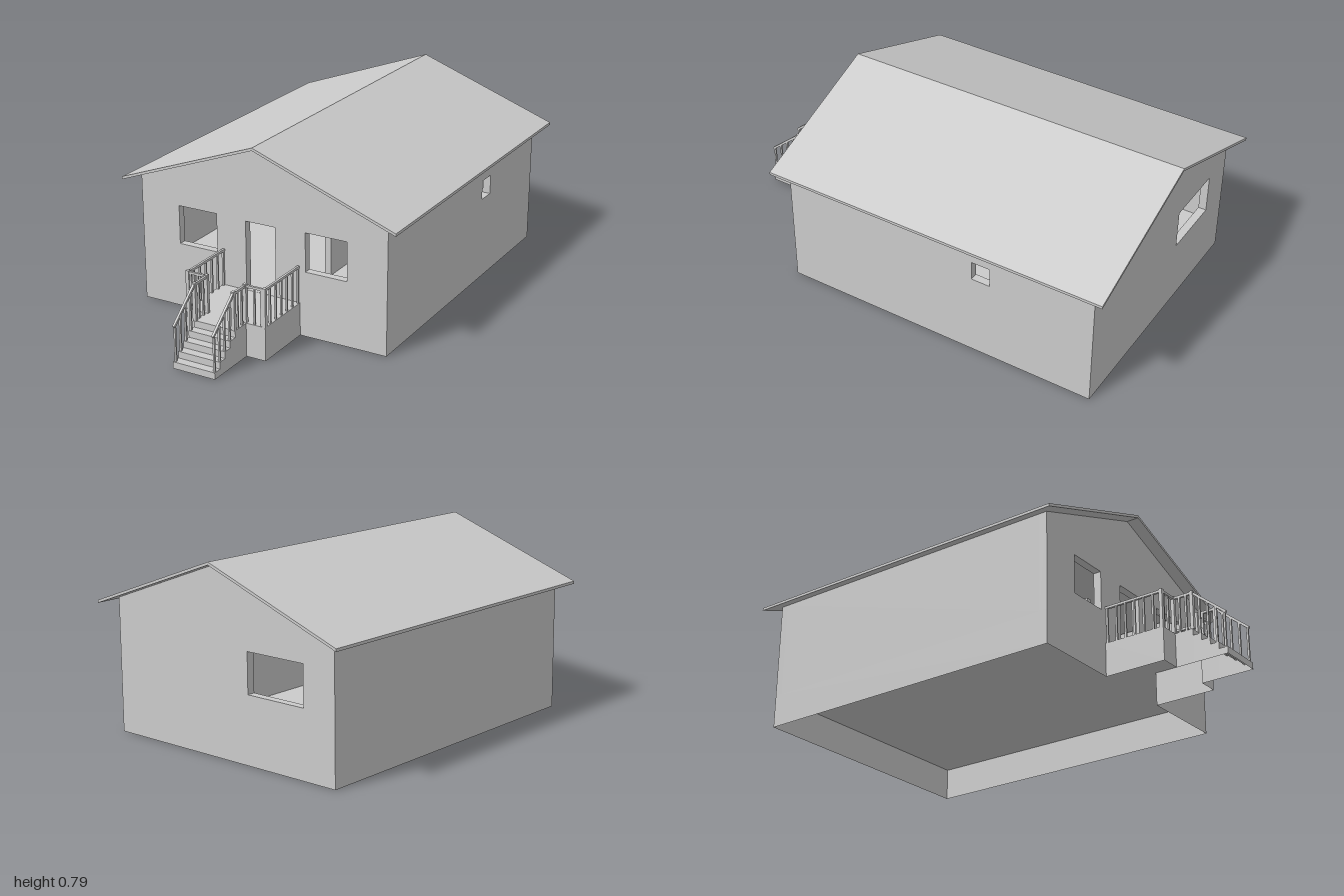
import * as THREE from 'three';

const grey = new THREE.MeshStandardMaterial({ color: 0xcccccc, flatShading: true, side: THREE.DoubleSide });
const V = (x, y, z) => new THREE.Vector3(x, y, z);

const FLOOR = 0.145, WALL = 0.035;
const HALF = 0.58, FRONT = 0.5, BACK = -0.94;
const EAVE = 0.567, RIDGE = 0.78;

function add(parent, name, geometry) {
  const mesh = new THREE.Mesh(geometry, grey);
  mesh.name = name;
  parent.add(mesh);
  return mesh;
}

function box(parent, name, x0, x1, y0, y1, z0, z1) {
  const mesh = add(parent, name, new THREE.BoxGeometry(x1 - x0, y1 - y0, z1 - z0));
  mesh.position.set((x0 + x1) / 2, (y0 + y1) / 2, (z0 + z1) / 2);
  return mesh;
}

// Square bar between two points
function bar(parent, name, a, b, size) {
  const mesh = add(parent, name, new THREE.BoxGeometry(size, size, a.distanceTo(b)));
  mesh.position.copy(a).add(b).multiplyScalar(0.5);
  mesh.lookAt(b);
  return mesh;
}

// Thin sheet made by sweeping a polyline along an offset
function ribbon(points, offset) {
  const corners = [];
  for (let i = 0; i < points.length - 1; i++) {
    const a = points[i], b = points[i + 1];
    const c = b.clone().add(offset), d = a.clone().add(offset);
    corners.push(a, b, c, a, c, d);
  }
  const geometry = new THREE.BufferGeometry().setFromPoints(corners);
  geometry.computeVertexNormals();
  return geometry;
}

const outline = (pts) => new THREE.Shape(pts.map(([x, y]) => new THREE.Vector2(x, y)));

// Wall panel with rectangular openings given as [x0, x1, y0, y1]
function panel(pts, openings) {
  const shape = outline(pts);
  for (const [x0, x1, y0, y1] of openings) {
    shape.holes.push(new THREE.Path([
      new THREE.Vector2(x0, y0), new THREE.Vector2(x0, y1),
      new THREE.Vector2(x1, y1), new THREE.Vector2(x1, y0)]));
  }
  return new THREE.ExtrudeGeometry(shape, { depth: WALL, bevelEnabled: false });
}

function buildHouse() {
  const house = new THREE.Group();
  house.name = 'house';

  // Gable walls with windows and doorway
  const gable = [[-HALF, FLOOR], [HALF, FLOOR], [HALF, EAVE], [0, RIDGE], [-HALF, EAVE]];
  add(house, 'frontWall', panel(gable, [
    [-0.395, -0.21, 0.285, 0.455], [0.21, 0.4, 0.285, 0.455], [-0.07, 0.07, FLOOR + 0.001, 0.45],
  ])).position.z = FRONT - WALL;
  add(house, 'backWall', panel(gable, [[-0.425, -0.14, 0.285, 0.455]])).position.z = BACK;

  // Side walls, drawn with x running to the back
  const side = [[WALL - FRONT, FLOOR], [-BACK - WALL, FLOOR], [-BACK - WALL, EAVE], [WALL - FRONT, EAVE]];
  const windowed = add(house, 'windowedSideWall', panel(side, [[0.39, 0.475, 0.37, 0.455]]));
  const plain = add(house, 'plainSideWall', panel(side, []));
  windowed.position.x = HALF - WALL;
  plain.position.x = -HALF;
  windowed.rotation.y = plain.rotation.y = Math.PI / 2;

  box(house, 'partition', 0.13, 0.16, FLOOR, 0.56, BACK + WALL, 0.2);

  // Roof: two slopes in one folded slab
  const roof = outline([[-0.64, 0.545], [0, 0.78], [0.64, 0.545], [0.64, 0.557], [0, 0.792], [-0.64, 0.557]]);
  add(house, 'roof', new THREE.ExtrudeGeometry(roof, { depth: 1.555, bevelEnabled: false })).position.z = -1;
  return house;
}

function buildBase() {
  const base = new THREE.Group();
  base.name = 'base';

  // Plan of house, porch and walkway as [x, z]; mirrored for the other half
  const half = [[HALF, BACK], [HALF, FRONT], [0.185, FRONT], [0.185, 0.77], [0.097, 0.77], [0.097, 0.85]];
  const plan = [...half, ...half.map(([x, z]) => [-x, z]).reverse()];
  const floor = new THREE.ShapeGeometry(outline(plan.map(([x, z]) => [x, -z])));
  add(base, 'floor', floor.rotateX(-Math.PI / 2)).position.y = FLOOR;

  // Foundation skirt, left open where the stairs meet the walkway
  const left = half.map(([x, z]) => V(x, 0, z));
  const right = half.map(([x, z]) => V(-x, 0, z)).reverse();
  add(base, 'foundation', ribbon([...right, ...left], V(0, FLOOR, 0)));

  // Stairs: folded treads and risers with two cheeks
  const steps = [[0.85, FLOOR]];
  for (let i = 1; i <= 4; i++) {
    const y = FLOOR - i * 0.029, z = 0.85 + i * 0.0375;
    steps.push([z - 0.0375, y], [z, y]);
  }
  steps.push([1, 0]);
  add(base, 'stairs', ribbon(steps.map(([z, y]) => V(-0.097, y, z)), V(0.194, 0, 0)));
  for (const x of [-0.097, 0.097]) {
    const cheek = new THREE.ShapeGeometry(outline([...steps, [0.85, 0]]));
    add(base, 'stairCheek', cheek.rotateY(-Math.PI / 2)).position.x = x;
  }
  return base;
}

function buildRailing(s) {
  const railing = new THREE.Group();
  railing.name = s > 0 ? 'leftRailing' : 'rightRailing';
  const outer = s * 0.178, inner = s * 0.09, rail = 0.302, thin = 0.008;

  const post = (x, z) => bar(railing, 'post', V(x, FLOOR, z), V(x, 0.31, z), 0.015);
  const baluster = (x, z, y0, y1) => bar(railing, 'baluster', V(x, y0, z), V(x, y1, z), thin);

  post(outer, 0.762);
  post(inner, 0.762);
  post(inner, 0.848);

  // Handrails round the porch, along the walkway and down the stairs
  const path = [V(outer, rail, FRONT), V(outer, rail, 0.762), V(inner, rail, 0.762),
    V(inner, rail, 0.85), V(inner, 0.178, 0.997)];
  for (let i = 0; i < path.length - 1; i++) bar(railing, 'handrail', path[i], path[i + 1], 0.01);

  for (let i = 0; i < 6; i++) baluster(outer, 0.507 + i * 0.043, FLOOR, rail);
  for (const x of [0.132, 0.165]) baluster(s * x, 0.762, FLOOR, rail);
  for (const z of [0.79, 0.82]) baluster(inner, z, FLOOR, rail);
  for (let i = 0; i < 4; i++) {
    const z = 0.88 + i * 0.0365;
    baluster(inner, z, FLOOR - (i + 1) * 0.029, rail - (z - 0.85) * 0.84);
  }
  return railing;
}

export function createModel() {
  const model = new THREE.Group();
  model.name = 'gabledHouse';
  model.add(buildHouse(), buildBase(), buildRailing(1), buildRailing(-1));
  return model;
}
